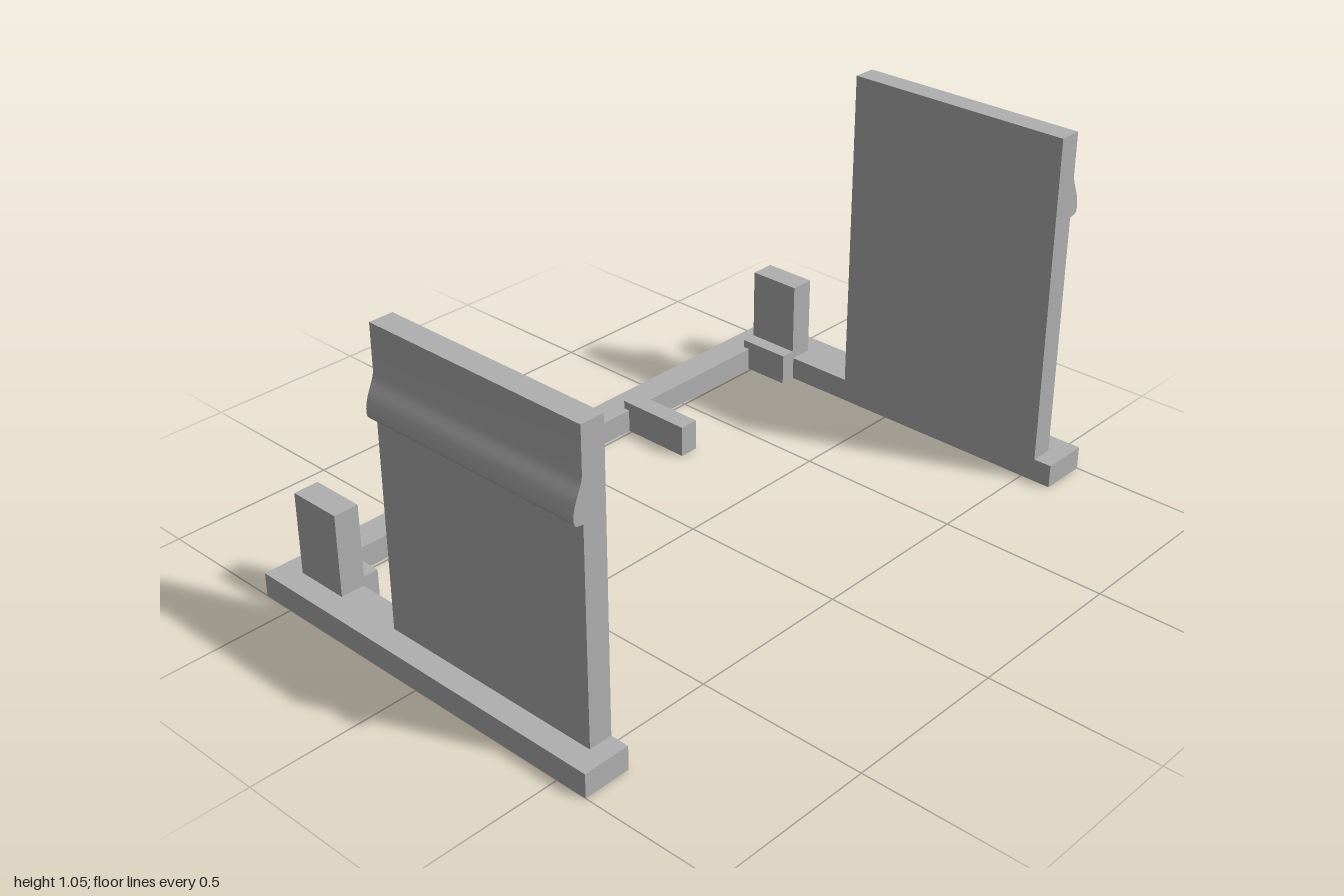
import * as THREE from 'three';
import { toCreasedNormals } from 'three/addons/utils/BufferGeometryUtils.js';

const grey = new THREE.MeshStandardMaterial({ color: 0xb0b0b0 });
grey.name = 'grey plastic';

export function createModel() {
  const model = new THREE.Group();
  model.name = 'clipFrame';

  const add = (name, geometry) => {
    const mesh = new THREE.Mesh(geometry, grey);
    mesh.name = name;
    model.add(mesh);
    return mesh;
  };

  // Box given by its extents on each axis
  const box = (name, [x0, x1], [y0, y1], [z0, z1]) => {
    const mesh = add(name, new THREE.BoxGeometry(Math.abs(x1 - x0), y1 - y0, z1 - z0));
    mesh.position.set((x0 + x1) / 2, (y0 + y1) / 2, (z0 + z1) / 2);
  };

  // Upright panel with a snap ridge on its outer face
  const panel = (name, side, inner, top) => {
    const at = (out, y) => [side * (inner + out), y];
    const ridge = top - 0.25; // underside of the ridge
    const s = new THREE.Shape();
    s.moveTo(...at(0, 0.07));
    s.lineTo(...at(0.07, 0.07));
    s.lineTo(...at(0.07, ridge));
    s.lineTo(...at(0.086, ridge + 0.002));
    s.quadraticCurveTo(...at(0.098, ridge + 0.004), ...at(0.099, ridge + 0.02));
    s.bezierCurveTo(...at(0.101, ridge + 0.06), ...at(0.075, ridge + 0.09), ...at(0.07, ridge + 0.12));
    s.lineTo(...at(0.07, top));
    s.lineTo(...at(0, top));
    s.closePath();
    const geometry = new THREE.ExtrudeGeometry(s, { depth: 0.70, bevelEnabled: false, curveSegments: 10 });
    geometry.translate(0, 0, -0.16);
    add(name, toCreasedNormals(geometry, 0.6));
  };

  // U-shaped base
  box('backRail', [-1, 1], [0, 0.07], [-0.6, -0.51]);
  for (const [label, side, inner, top] of [['right', -1, 0.86, 0.935], ['left', 1, 0.855, 1.055]]) {
    box(label + 'Rail', [side * inner, side], [0, 0.07], [-0.51, 0.595]);
    panel(label + 'Panel', side, inner, top);
    // Corner post and the small block on its inner side
    const post = inner - 0.004;
    box(label + 'Post', [side * post, side * (post + 0.075)], [0, 0.315], [-0.53, -0.367]);
    box(label + 'CornerBlock', [side * (post - 0.045), side * post], [0, 0.095], [-0.53, -0.367]);
  }

  // Short fingers pointing forward from the back rail
  for (const x of [-0.242, 0.298]) {
    box('finger', [x - 0.03, x + 0.03], [0, 0.095], [-0.53, -0.293]);
  }
  return model;
}
